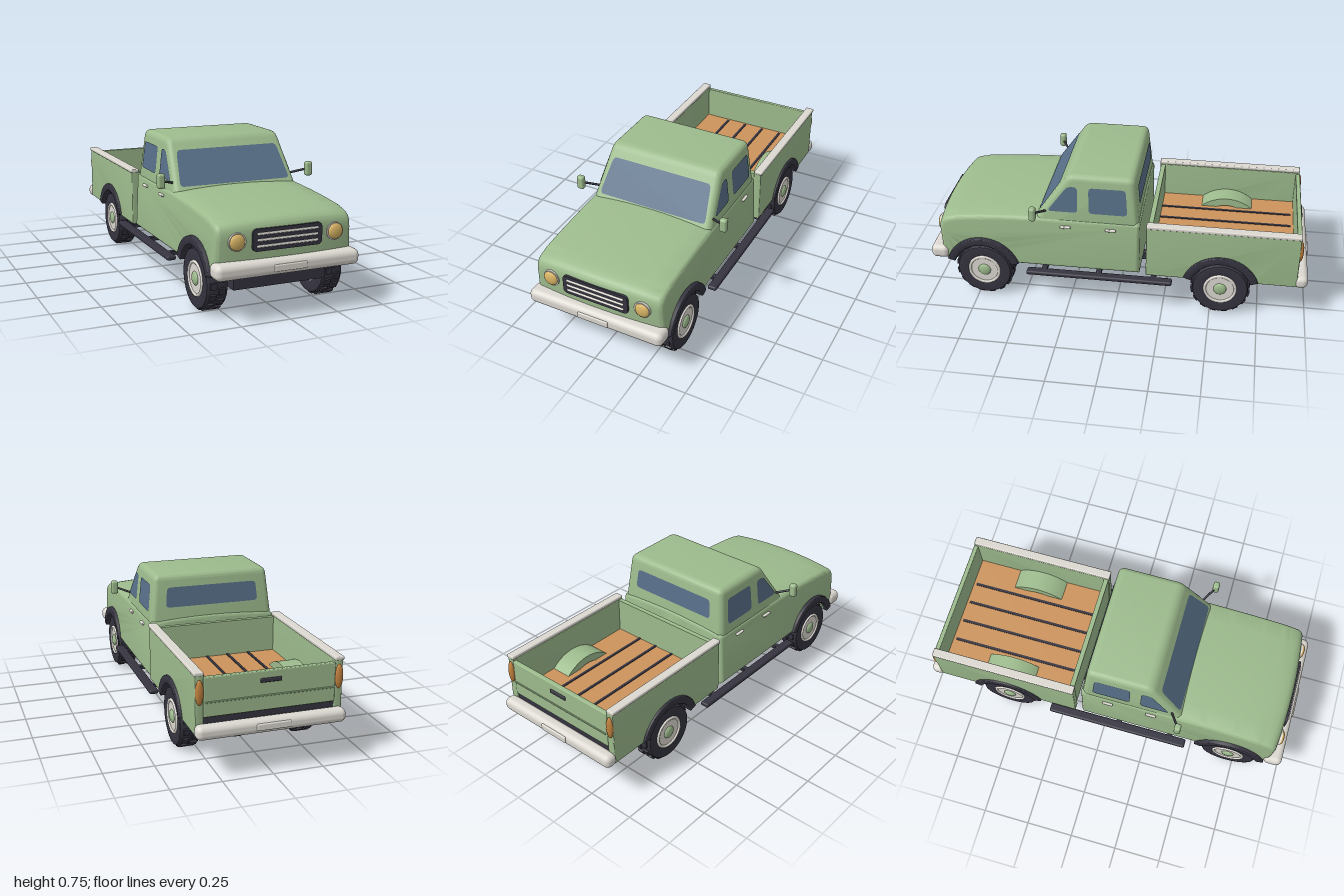
import * as THREE from 'three';
import { toCreasedNormals } from 'three/addons/utils/BufferGeometryUtils.js';
import { RoundedBoxGeometry } from 'three/addons/geometries/RoundedBoxGeometry.js';

const mat = (name, color, extra = {}) => {
  const m = new THREE.MeshStandardMaterial({ color, ...extra });
  m.name = name;
  return m;
};

export function createModel() {
  const green = mat('sage paint', 0x9dbb8d);
  const glass = mat('blue glass', 0x587089, { side: THREE.DoubleSide });
  const dark = mat('dark rubber', 0x353440);
  const light = mat('pale metal', 0xdcd8d1);
  const wood = mat('wood', 0xcc935c);
  const amber = mat('headlight amber', 0xd9b566);
  const orange = mat('tail light orange', 0xc0803e);

  const truck = new THREE.Group();
  truck.name = 'pickupTruck';
  const add = (name, geo, material, x = 0, y = 0, z = 0, parent = truck) => {
    const m = new THREE.Mesh(geo, material);
    m.name = name;
    m.position.set(x, y, z);
    parent.add(m);
    return m;
  };
  // box given by its min and max corners, optionally rounded
  const box = (name, material, x0, x1, y0, y1, z0, z1, r = 0) => {
    const s = [x1 - x0, y1 - y0, z1 - z0];
    const geo = r ? new RoundedBoxGeometry(...s, 4, r) : new THREE.BoxGeometry(...s);
    return add(name, geo, material, (x0 + x1) / 2, (y0 + y1) / 2, (z0 + z1) / 2);
  };
  // polygon with rounded corners
  const roundedShape = (pts, r) => {
    const s = new THREE.Shape();
    const v = pts.map(p => new THREE.Vector2(...p));
    v.forEach((p, i) => {
      const toward = q => p.clone().add(q.clone().sub(p).setLength(r));
      const a = toward(v[(i + v.length - 1) % v.length]), b = toward(v[(i + 1) % v.length]);
      i ? s.lineTo(a.x, a.y) : s.moveTo(a.x, a.y);
      s.quadraticCurveTo(p.x, p.y, b.x, b.y);
    });
    s.closePath();
    return s;
  };
  // side profile (z, y) extruded across x, with an optional vertex rule
  const acrossX = (shape, x0, x1, bevel = 0, rule = null, steps = 1) => {
    const depth = x1 - x0 - 2 * bevel;
    const geo = new THREE.ExtrudeGeometry(shape, {
      depth, steps, curveSegments: 16, bevelEnabled: bevel > 0,
      bevelSize: bevel, bevelThickness: bevel, bevelOffset: -bevel, bevelSegments: 5,
    });
    geo.translate(0, 0, -depth / 2).rotateY(-Math.PI / 2).translate((x0 + x1) / 2, 0, 0);
    if (rule) {
      const p = geo.attributes.position, v = new THREE.Vector3();
      for (let i = 0; i < p.count; i++) {
        rule(v.fromBufferAttribute(p, i));
        p.setXYZ(i, v.x, v.y, v.z);
      }
    }
    return toCreasedNormals(geo, 0.6);
  };

  const AXLES = { front: 0.71, rear: -0.55 }, HUB_Y = 0.155, ARCH = 0.175;
  const archTo = (shape, z) => {
    const a = Math.asin((0.21 - HUB_Y) / ARCH);
    shape.absarc(z, HUB_Y, ARCH, Math.PI - a, a, true);
  };
  const ring = (z, inner, outer, a) => {
    const s = new THREE.Shape();
    s.absarc(z, HUB_Y, outer, a, Math.PI - a, false);
    s.absarc(z, HUB_Y, inner, Math.PI - a, a, true);
    return s;
  };

  // lower cab and hood, crowned across the top and bowed at the nose
  const lower = new THREE.Shape();
  lower.moveTo(-0.125, 0.5);
  lower.lineTo(-0.125, 0.21);
  archTo(lower, AXLES.front);
  lower.lineTo(0.945, 0.21);
  lower.lineTo(0.955, 0.4);
  lower.bezierCurveTo(0.955, 0.465, 0.935, 0.475, 0.87, 0.488);
  lower.quadraticCurveTo(0.68, 0.513, 0.4, 0.52);
  lower.lineTo(-0.105, 0.52);
  lower.quadraticCurveTo(-0.125, 0.52, -0.125, 0.5);
  add('cabLowerBody', acrossX(lower, -0.358, 0.358, 0.024, v => {
    const t = (v.x / 0.358) ** 2;
    v.x *= 1 - 0.13 * (v.y - 0.21);
    if (v.y > 0.4) v.y -= 0.016 * t;
    if (v.z > 0.85) v.z -= 0.02 * t;
  }, 8), green);

  // tapered cab top
  const halfWidth = y => 0.337 - 0.11 * (y - 0.5);
  const screenZ = y => 0.42 - 0.7 * (y - 0.5);
  const rearZ = y => -0.118 + 0.1 * (y - 0.5);
  const upper = roundedShape([[screenZ(0.4), 0.4], [screenZ(0.747), 0.747], [rearZ(0.747), 0.747], [rearZ(0.4), 0.4]], 0.035);
  add('cabRoof', acrossX(upper, -0.337, 0.337, 0.03, v => { v.x *= halfWidth(v.y) / 0.337; }), green);

  // glass panes laid on the cab faces
  const pane = (name, pts, place) => {
    const geo = new THREE.ShapeGeometry(roundedShape(pts, 0.022), 6);
    const p = geo.attributes.position;
    for (let i = 0; i < p.count; i++) p.setXYZ(i, ...place(p.getX(i), p.getY(i)));
    geo.computeVertexNormals();
    add(name, geo, glass);
  };
  pane('windshield', [[-0.303, 0.526], [0.303, 0.526], [0.278, 0.69], [-0.278, 0.69]], (x, y) => [x, y, screenZ(y) + 0.004]);
  pane('rearWindow', [[0.255, 0.575], [-0.255, 0.575], [-0.245, 0.68], [0.245, 0.68]], (x, y) => [x, y, rearZ(y) - 0.004]);

  // load bed
  const side = new THREE.Shape();
  side.moveTo(-0.94, 0.498);
  side.lineTo(-0.94, 0.21);
  archTo(side, AXLES.rear);
  side.lineTo(-0.16, 0.21);
  side.lineTo(-0.16, 0.498);
  box('bedFloor', wood, -0.322, 0.322, 0.295, 0.31, -0.922, -0.17);
  box('bedUnderside', dark, -0.322, 0.322, 0.28, 0.295, -0.922, -0.17);
  for (const x of [-0.175, -0.06, 0.055, 0.17]) box('floorStrip', dark, x - 0.007, x + 0.007, 0.308, 0.314, -0.905, -0.19);
  box('bedFrontWall', green, -0.33, 0.33, 0.22, 0.495, -0.19, -0.165);
  box('tailgate', green, -0.322, 0.322, 0.298, 0.49, -0.944, -0.92, 0.005);
  box('tailgateRidge', green, -0.315, 0.315, 0.366, 0.374, -0.949, -0.94, 0.003);
  box('tailgateHandle', dark, -0.052, 0.052, 0.435, 0.455, -0.952, -0.94, 0.005);
  box('rearSill', dark, -0.322, 0.322, 0.21, 0.3, -0.932, -0.92);

  // bumpers and plates
  box('frontBumper', light, -0.37, 0.37, 0.214, 0.29, 0.895, 0.994, 0.03);
  box('frontPlate', light, -0.084, 0.084, 0.234, 0.268, 0.985, 1.0, 0.006);
  box('rearBumper', light, -0.368, 0.368, 0.203, 0.272, -0.994, -0.925, 0.028);
  box('rearPlate', light, -0.084, 0.084, 0.222, 0.256, -1.0, -0.985, 0.006);

  // grille
  const grille = roundedShape([[-0.178, 0.328], [0.178, 0.328], [0.178, 0.433], [-0.178, 0.433]], 0.025);
  add('grille', new THREE.ExtrudeGeometry(grille, { depth: 0.035, bevelEnabled: false }), dark, 0, 0, 0.925);
  for (const y of [0.352, 0.381, 0.41]) box('grilleBar', light, -0.157, 0.157, y - 0.006, y + 0.006, 0.955, 0.967, 0.005);

  // chassis
  box('cabUnderside', dark, -0.325, 0.325, 0.2, 0.216, -0.115, 0.53);
  for (const z of Object.values(AXLES)) box('axleHousing', dark, -0.24, 0.24, 0.135, 0.285, z - 0.18, z + 0.18);
  for (const z of [-0.86, -0.28, -0.06, 0.4]) box('crossMember', dark, -0.17, 0.17, 0.18, 0.21, z - 0.018, z + 0.018);

  // wheel pieces, built about the x axis
  const tyre = new THREE.LatheGeometry([[0.08, -0.048], [0.13, -0.055], [0.141, -0.052], [0.146, -0.043],
    [0.146, 0.043], [0.141, 0.052], [0.13, 0.055], [0.08, 0.048]].map(p => new THREE.Vector2(...p)), 40);
  const tyreGeo = toCreasedNormals(tyre.rotateZ(-Math.PI / 2), 0.7);
  const rimGeo = new THREE.CylinderGeometry(0.086, 0.086, 0.1, 32).rotateZ(Math.PI / 2);
  const lipGeo = new THREE.TorusGeometry(0.08, 0.008, 8, 32).rotateY(Math.PI / 2);
  const hubGeo = new THREE.SphereGeometry(0.034, 20, 12).scale(0.4, 1, 1);
  const blockGeo = new THREE.BoxGeometry(0.031, 0.016, 0.031);
  const wheel = (s, z) => {
    const g = new THREE.Group();
    g.name = 'wheel';
    g.position.set(s * 0.303, HUB_Y, z);
    truck.add(g);
    add('tyre', tyreGeo, dark, 0, 0, 0, g);
    add('rim', rimGeo, light, 0, 0, 0, g);
    add('rimLip', lipGeo, light, s * 0.05, 0, 0, g);
    add('hubCap', hubGeo, green, s * 0.05, 0, 0, g);
    for (let i = 0; i < 32; i++) {
      const a = i * Math.PI / 16;
      add('treadBlock', blockGeo, dark, i % 2 ? 0.022 : -0.022, Math.cos(a) * 0.147, Math.sin(a) * 0.147, g).rotation.x = a;
    }
  };

  // paired parts
  for (const s of [-1, 1]) {
    const sbox = (name, m, x0, x1, ...rest) => box(name, m, Math.min(s * x0, s * x1), Math.max(s * x0, s * x1), ...rest);
    const sAcross = (shape, x0, x1, b) => acrossX(shape, Math.min(s * x0, s * x1), Math.max(s * x0, s * x1), b);
    const onSide = (z, y) => [s * (halfWidth(y) + 0.004), y, z];
    pane('quarterWindow', [[0.355, 0.547], [0.197, 0.547], [0.197, 0.688], [0.25, 0.688]], onSide);
    pane('doorWindow', [[0.14, 0.547], [-0.06, 0.547], [-0.05, 0.688], [0.14, 0.688]], onSide);
    for (const z of [0.26, 0.025]) sbox('doorHandle', light, 0.34, 0.358, 0.456, 0.468, z - 0.028, z + 0.028, 0.005);

    for (const z of Object.values(AXLES)) {
      wheel(s, z);
      add('wheelArch', sAcross(ring(z, 0.162, 0.203, 0.32), 0.235, 0.372, 0.006), dark);
    }
    add('bedSide', sAcross(side, 0.32, 0.36, 0.005), green);
    add('bedWheelWell', sAcross(ring(AXLES.rear, 0.165, 0.208, 0.6), 0.21, 0.325), green);
    sbox('bedRail', light, 0.32, 0.366, 0.496, 0.515, -0.942, -0.16, 0.006);
    add('tailLight', new THREE.SphereGeometry(1, 20, 14).scale(0.02, 0.06, 0.014), orange, s * 0.341, 0.42, -0.942);

    const ringGeo = new THREE.CylinderGeometry(0.043, 0.043, 0.03, 32).rotateX(Math.PI / 2);
    add('headlightRing', ringGeo, light, s * 0.25, 0.38, 0.938);
    add('headlight', new THREE.SphereGeometry(0.038, 24, 12).scale(1, 1, 0.4), amber, s * 0.252, 0.38, 0.953);

    sbox('mirror', green, 0.389, 0.428, 0.53, 0.604, 0.398, 0.432, 0.012);
    const arm = new THREE.LineCurve3(new THREE.Vector3(s * 0.4, 0.57, 0.412), new THREE.Vector3(s * 0.32, 0.542, 0.36));
    arm.v1.y = 0.566; arm.v2.y = 0.54;
    const armEnds = [[0.4, 0.566, 0.412], [0.32, 0.54, 0.36]].map(([x, y, z]) => new THREE.Vector3(s * x, y, z));
    add('mirrorArm', new THREE.TubeGeometry(new THREE.LineCurve3(...armEnds), 1, 0.006, 8), dark);

    sbox('frameRail', dark, 0.13, 0.17, 0.176, 0.214, -0.92, 0.88);
    sbox('runningBoard', dark, 0.352, 0.4, 0.176, 0.2, -0.3, 0.47, 0.01);
    for (const z of [-0.2, 0.09, 0.38]) sbox('boardBracket', dark, 0.15, 0.37, 0.18, 0.198, z - 0.014, z + 0.014);
  }
  return truck;
}
